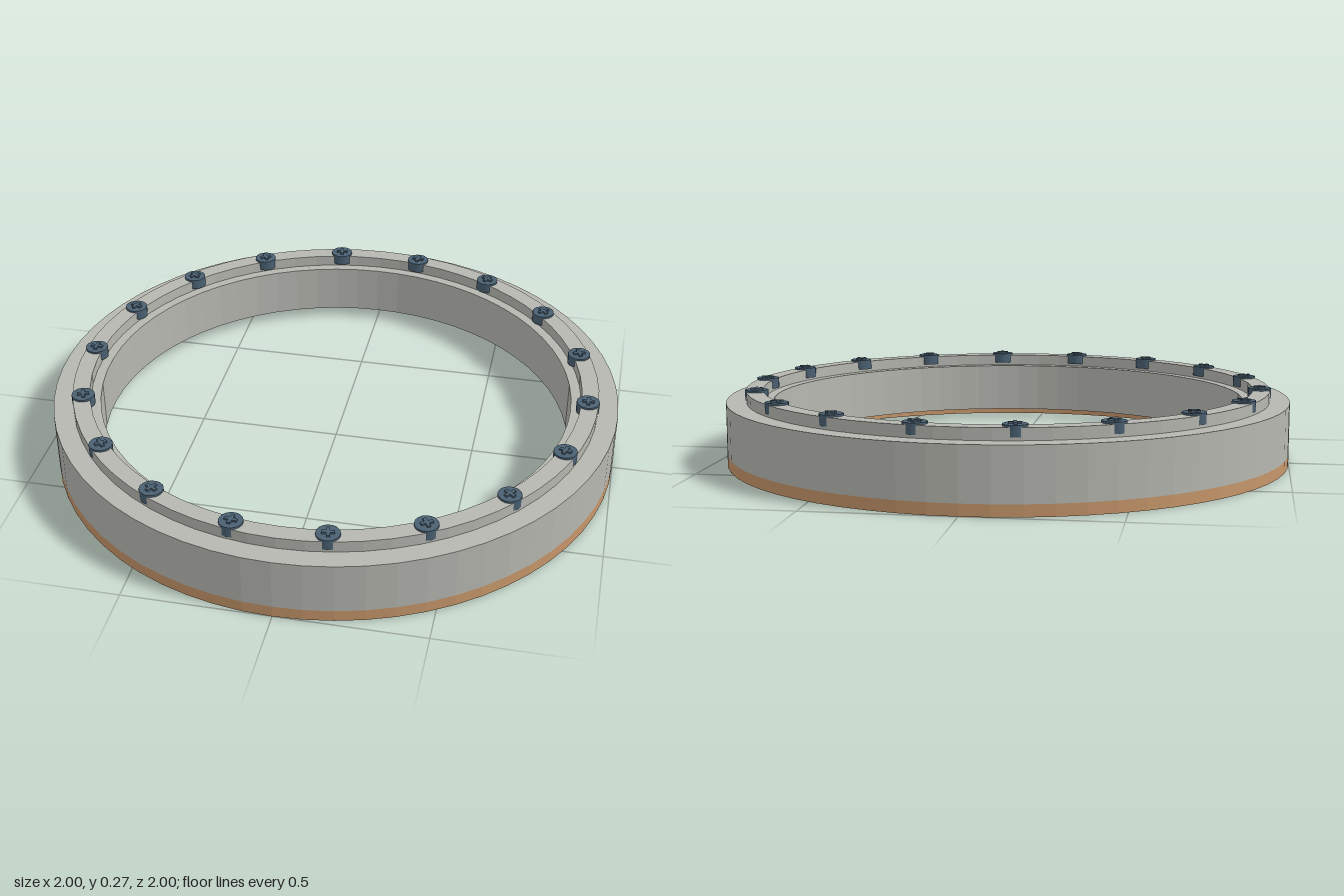
import * as THREE from 'three';

const SEGMENTS = 64;
const BOLTS = 18;

// Closed [radius, height] cross-section swept round the y axis, with flat facets
function ring(name, section, material) {
  const points = [...section, section[0]].map(([r, y]) => new THREE.Vector2(r, y));
  const geometry = new THREE.LatheGeometry(points, SEGMENTS).toNonIndexed();
  geometry.computeVertexNormals();
  const mesh = new THREE.Mesh(geometry, material);
  mesh.name = name;
  return mesh;
}

function makeBolt(material) {
  const bolt = new THREE.Group();
  bolt.name = 'bolt';
  const add = (name, geometry, y) => {
    const mesh = new THREE.Mesh(geometry, material);
    mesh.name = name;
    mesh.position.y = y;
    bolt.add(mesh);
  };
  // Body breaks slightly through both sides of the raised rim
  add('boltBody', new THREE.CylinderGeometry(0.04, 0.04, 0.037, 16), 0.2485);
  // Raised cross on the head
  add('crossBar', new THREE.BoxGeometry(0.042, 0.007, 0.012), 0.27);
  add('crossBar', new THREE.BoxGeometry(0.012, 0.007, 0.042), 0.27);
  return bolt;
}

export function createModel() {
  const grey = new THREE.MeshStandardMaterial({ color: 0xb6b7b0 });
  grey.name = 'warm grey metal';
  const copper = new THREE.MeshStandardMaterial({ color: 0xc6966a });
  copper.name = 'copper seal';
  const steel = new THREE.MeshStandardMaterial({ color: 0x4a6072 });
  steel.name = 'blue steel';

  const model = new THREE.Group();
  model.name = 'boltedRing';

  // Hollow body: outer wall, raised rim, inner skirt and sloping underside
  model.add(ring('ringBody', [
    [1, 0.04], [1, 0.22], [0.93, 0.22], [0.93, 0.26], [0.87, 0.26], [0.87, 0.22],
    [0.835, 0.22], [0.835, 0.04], [0.842, 0.04], [0.85, 0.15], [0.975, 0.04],
  ], grey));

  // Seal band round the foot
  model.add(ring('sealBand', [[0.975, 0], [1, 0], [1, 0.04], [0.975, 0.04]], copper));

  // Bolts evenly spaced on the raised rim
  for (let i = 0; i < BOLTS; i++) {
    const angle = (i / BOLTS) * Math.PI * 2;
    const bolt = makeBolt(steel);
    bolt.position.set(0.893 * Math.cos(angle), 0, 0.893 * Math.sin(angle));
    bolt.rotation.y = -angle;
    model.add(bolt);
  }
  return model;
}
